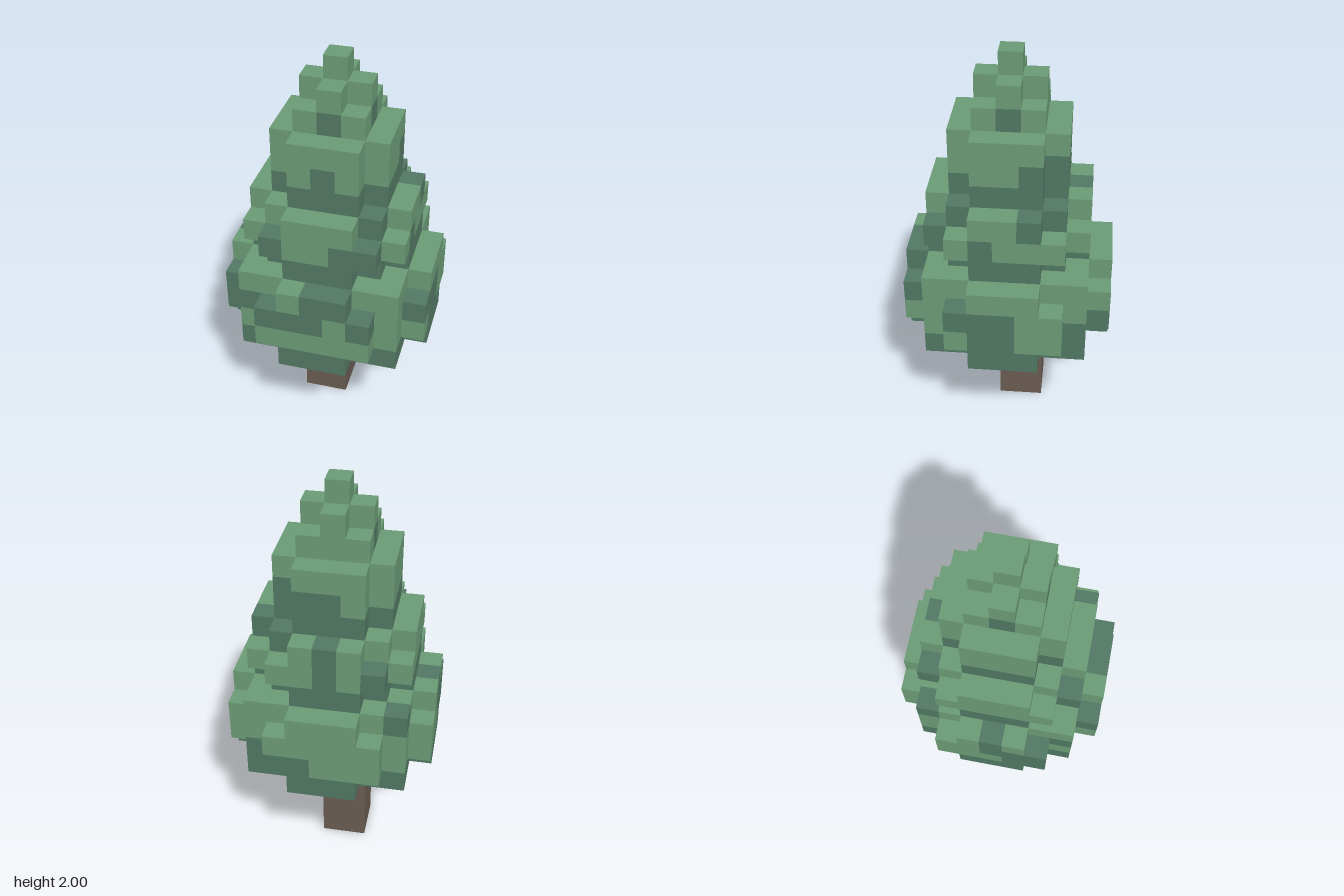
import * as THREE from 'three';
import { mergeGeometries } from 'three/addons/utils/BufferGeometryUtils.js';

const U = 1 / 9; // voxel size: the tree is 18 voxels tall

// Footprints: reach[k] is how far a row at distance k from the centre extends
const star9 = [4, 4, 3, 3, 1], wide9 = [4, 4, 4, 3, 2];
const star7 = [3, 3, 2, 1], wide7 = [3, 3, 3, 2];
const star5 = [2, 2, 1], full3 = [1, 1], plus3 = [1, 0], single = [0];
star9[2] = 3;

// Foliage tiers, each with its first layer and footprints from the bottom up
const tiers = [
  { name: 'foliageUnderside', base: 4, layers: [star5] },
  { name: 'foliageLowerTier', base: 5, layers: [star9, wide9, wide9, star9] },
  { name: 'foliageMiddleTier', base: 9, layers: [star7, wide7, star7] },
  { name: 'foliageUpperTier', base: 12, layers: [star5, star5, star5] },
  { name: 'foliageTop', base: 15, layers: [full3, plus3, single] },
];

// Layers that are entirely dark, and single dark voxels [x, z] per layer
const darkLayers = [4, 5, 9, 12];
const darkCells = {
  6: [[-4, 2], [-4, 1], [4, 1], [4, 0], [3, -3], [2, -4], [1, -4]],
  7: [[-4, 2], [-4, 1], [-4, 0], [-3, 3], [-2, 4], [-1, 4], [0, 4], [2, 4], [4, 2], [4, 1], [4, 0]],
  8: [[0, 4], [1, 4], [-3, -3], [-4, 0]],
  10: [[-2, 3], [1, 3], [2, 3], [3, 1], [0, -3], [-2, -3]],
  11: [[2, 2], [3, -1], [2, -2], [0, -3]],
  13: [[0, 2], [2, -1], [1, -2], [0, -2]],
  15: [[0, 1], [1, 0], [-1, 0]],
};

const footprints = {};
tiers.forEach(t => t.layers.forEach((f, i) => { footprints[t.base + i] = f; }));

const filled = (x, y, z) => {
  const f = footprints[y];
  return !!f && Math.abs(z) < f.length && Math.abs(x) <= f[Math.abs(z)];
};
const isDark = (x, y, z) => darkLayers.includes(y) ||
  (darkCells[y] || []).some(([a, b]) => a === x && b === z);

// One unit face per direction
const H = Math.PI / 2;
const faces = [
  [0, 0, 1, g => g],
  [0, 0, -1, g => g.rotateY(2 * H)],
  [1, 0, 0, g => g.rotateY(H)],
  [-1, 0, 0, g => g.rotateY(-H)],
  [0, 1, 0, g => g.rotateX(-H)],
  [0, -1, 0, g => g.rotateX(H)],
].map(([x, y, z, turn]) => ({
  x, y, z, quad: turn(new THREE.PlaneGeometry(U, U)).translate(x * U / 2, y * U / 2, z * U / 2),
}));

export function createModel() {
  const tree = new THREE.Group();
  tree.name = 'voxelPineTree';
  const lightGreen = new THREE.MeshStandardMaterial({ color: 0x6b9a74 });
  lightGreen.name = 'lightGreen';
  const darkGreen = new THREE.MeshStandardMaterial({ color: 0x517763 });
  darkGreen.name = 'darkGreen';
  const brown = new THREE.MeshStandardMaterial({ color: 0x695b51 });
  brown.name = 'barkBrown';

  // Trunk, half a voxel off centre
  const trunk = new THREE.Mesh(new THREE.BoxGeometry(2 * U, 4 * U, 2 * U), brown);
  trunk.name = 'trunk';
  trunk.position.set(-U / 2, 2 * U, -U / 2);
  tree.add(trunk);

  // Foliage: only the exposed voxel faces, sorted by colour
  for (const { name, base, layers } of tiers) {
    const tier = new THREE.Group();
    tier.name = name;
    const light = [], dark = [];
    for (let y = base; y < base + layers.length; y++)
      for (let x = -4; x <= 4; x++)
        for (let z = -4; z <= 4; z++) {
          if (!filled(x, y, z)) continue;
          const list = isDark(x, y, z) ? dark : light;
          for (const f of faces)
            if (!filled(x + f.x, y + f.y, z + f.z))
              list.push(f.quad.clone().translate(x * U, (y + 0.5) * U, z * U));
        }
    for (const [list, material, label] of [[light, lightGreen, 'LightNeedles'], [dark, darkGreen, 'DarkNeedles']]) {
      if (!list.length) continue;
      const mesh = new THREE.Mesh(mergeGeometries(list), material);
      mesh.name = name + label;
      tier.add(mesh);
    }
    tree.add(tier);
  }
  return tree;
}
